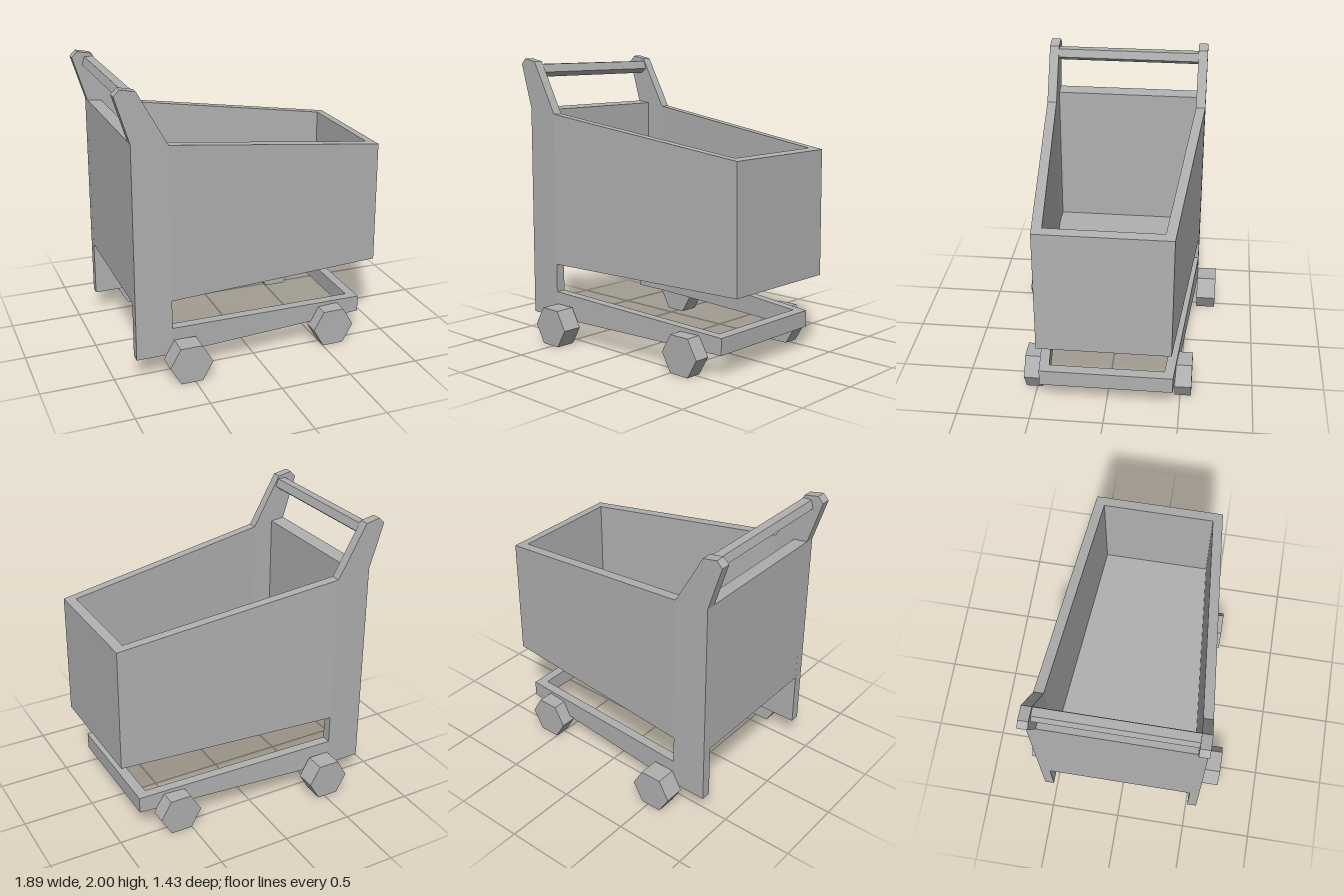
import * as THREE from 'three';

const grey = new THREE.MeshStandardMaterial({ color: 0xb0b0b0, flatShading: true });
grey.name = 'grey';

// Half-widths of the cart in plan: straight at the posts, tapering to the nose
const outer = (x) => 0.577 - 0.0855 * Math.max(0, x + 0.61);
const inner = (x) => outer(x) - 0.067;
const rim = (x) => 1.62 - 0.1355 * (x + 0.61);      // sloping basket edge
const rail = (x) => 0.35 - 0.052 * (x + 0.61);      // sloping base edge

// Solid with a side profile in x/y, reaching from z = back(x) to z = front(x)
function panel(name, points, back, front) {
  const shape = new THREE.Shape(points.map(([x, y]) => new THREE.Vector2(x, y)));
  const geometry = new THREE.ExtrudeGeometry(shape, { depth: 1, bevelEnabled: false });
  const p = geometry.attributes.position;
  for (let i = 0; i < p.count; i++) {
    const x = p.getX(i);
    p.setZ(i, p.getZ(i) > 0.5 ? front(x) : back(x));
  }
  geometry.computeVertexNormals();
  const mesh = new THREE.Mesh(geometry, grey);
  mesh.name = name;
  return mesh;
}

// Regular polygon profile
function polygon(cx, cy, r, sides, start) {
  return Array.from({ length: sides }, (_, i) => {
    const a = start + (i / sides) * Math.PI * 2;
    return [cx + r * Math.cos(a), cy + r * Math.sin(a)];
  });
}

export function createModel() {
  const cart = new THREE.Group();
  cart.name = 'shoppingCart';

  // Parts mirrored on both sides
  for (const side of [1, -1]) {
    const label = side > 0 ? 'left' : 'right';
    const add = (name, points, a, b) => cart.add(side > 0
      ? panel(label + name, points, a, b)
      : panel(label + name, points, (x) => -b(x), (x) => -a(x)));

    add('Post', [[-0.862, 0.16], [-0.61, 0.16], [-0.61, 1.62], [-0.81, 1.98],
      [-0.91, 2], [-0.95, 1.96], [-0.855, 1.65]], inner, outer);
    add('BasketWall', [[-0.61, 0.55], [0.945, 0.55], [0.937, rim(0.937)], [-0.61, 1.62]], inner, outer);
    add('BaseRail', [[-0.61, 0.16], [0.83, 0.16], [0.83, rail(0.83)], [-0.61, 0.35]], inner, outer);

    // Six-sided wheels: the rear pair sits outside the posts
    add('RearWheel', polygon(-0.525, 0.132, 0.15, 6, 0), () => 0.577, () => 0.717);
    add('FrontWheel', polygon(0.578, 0.132, 0.15, 6, 0), () => 0.463, () => 0.577);
  }

  // Parts spanning between the sides
  const across = (name, points) => cart.add(panel(name, points, (x) => -inner(x), inner));
  across('basketFront', [[0.87, 0.55], [0.945, 0.55], [0.937, rim(0.937)], [0.87, rim(0.87)]]);
  across('basketBack', [[-0.86, 0.55], [-0.755, 0.55], [-0.755, 1.64], [-0.855, 1.652]]);
  across('basketFloorRear', [[-0.755, 0.55], [-0.61, 0.55], [-0.61, 0.62], [-0.755, 0.62]]);
  across('basketFloor', [[-0.61, 0.55], [0.87, 0.55], [0.87, 0.62], [-0.61, 0.62]]);
  across('baseFrontRail', [[0.76, 0.16], [0.83, 0.16], [0.83, rail(0.83)], [0.76, rail(0.76)]]);

  // Five-sided push bar with a flat top
  across('handle', polygon(-0.833, 1.92, 0.05, 5, -Math.PI / 2));

  return cart;
}
